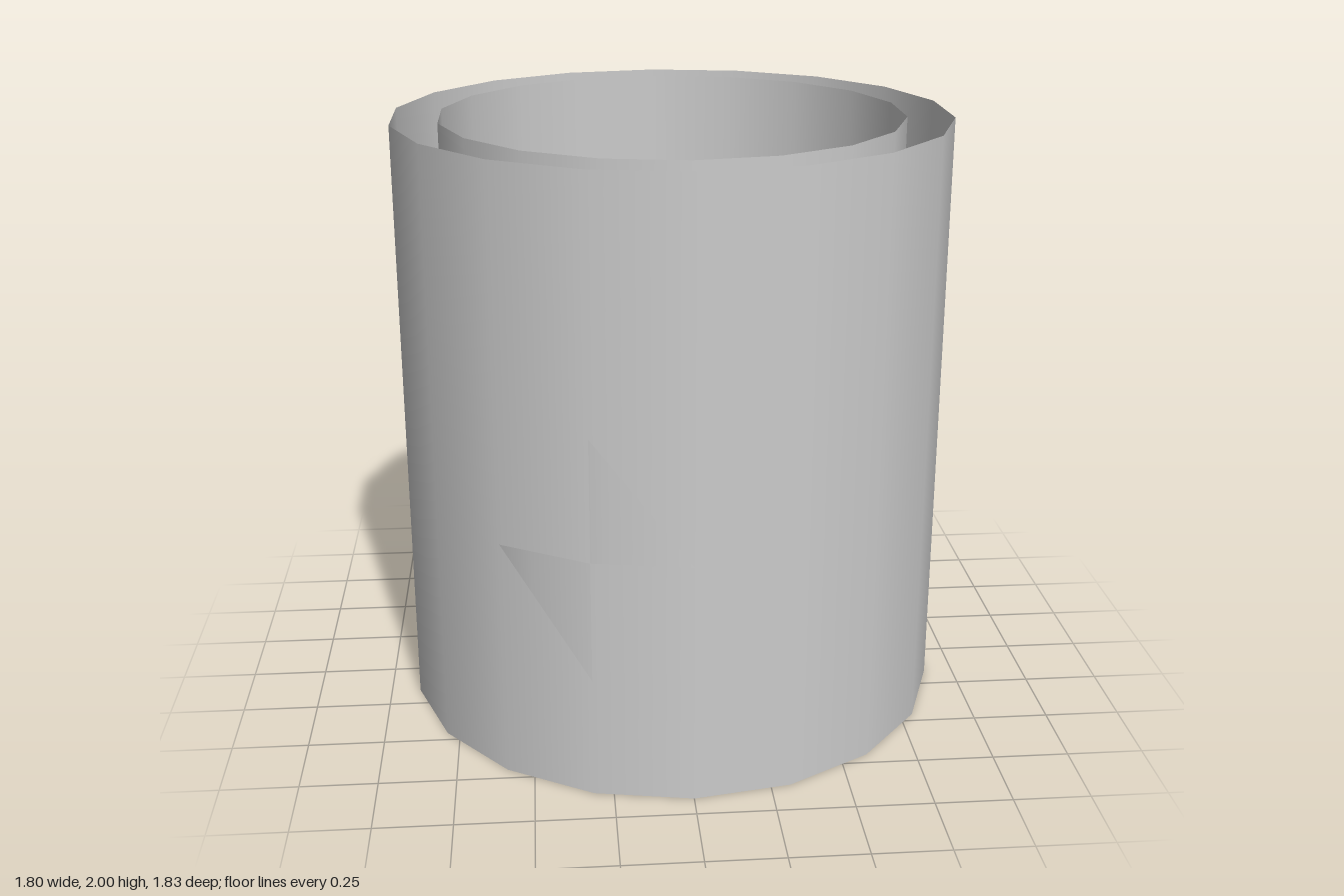
import * as THREE from 'three';

const SIDES = 18, ROWS = 5, HEIGHT = 2;

// Open tube wall; each grid cell is split by a falling diagonal, and
// cells listed as 'column,row,half' leave a triangular opening.
function wall(name, radius, openings = []) {
  const geometry = new THREE.CylinderGeometry(radius, radius, HEIGHT, SIDES, ROWS, true);
  geometry.clearGroups();
  const skip = new Set(openings);
  const index = [];
  for (let row = 0; row < ROWS; row++) {
    for (let col = 0; col < SIDES; col++) {
      const a = row * (SIDES + 1) + col; // top, start of cell
      const b = a + SIDES + 1;           // bottom, start of cell
      if (!skip.has(`${col},${row},lower`)) index.push(a, b, b + 1);
      if (!skip.has(`${col},${row},upper`)) index.push(a, b + 1, a + 1);
    }
  }
  geometry.setIndex(index);
  const material = new THREE.MeshStandardMaterial({ color: 0xcccccc, side: THREE.DoubleSide });
  const mesh = new THREE.Mesh(geometry, material);
  mesh.name = name;
  mesh.position.y = HEIGHT / 2;
  return mesh;
}

export function createModel() {
  const group = new THREE.Group();
  group.name = 'doubleWalledTube';
  // Outer wall: columns count from the front toward +x, rows from the top
  group.add(wall('outerWall', 0.915, ['17,2,lower', '16,3,upper', '13,4,upper', '7,3,lower']));
  // Inner wall, unbroken
  group.add(wall('innerWall', 0.762));
  return group;
}
